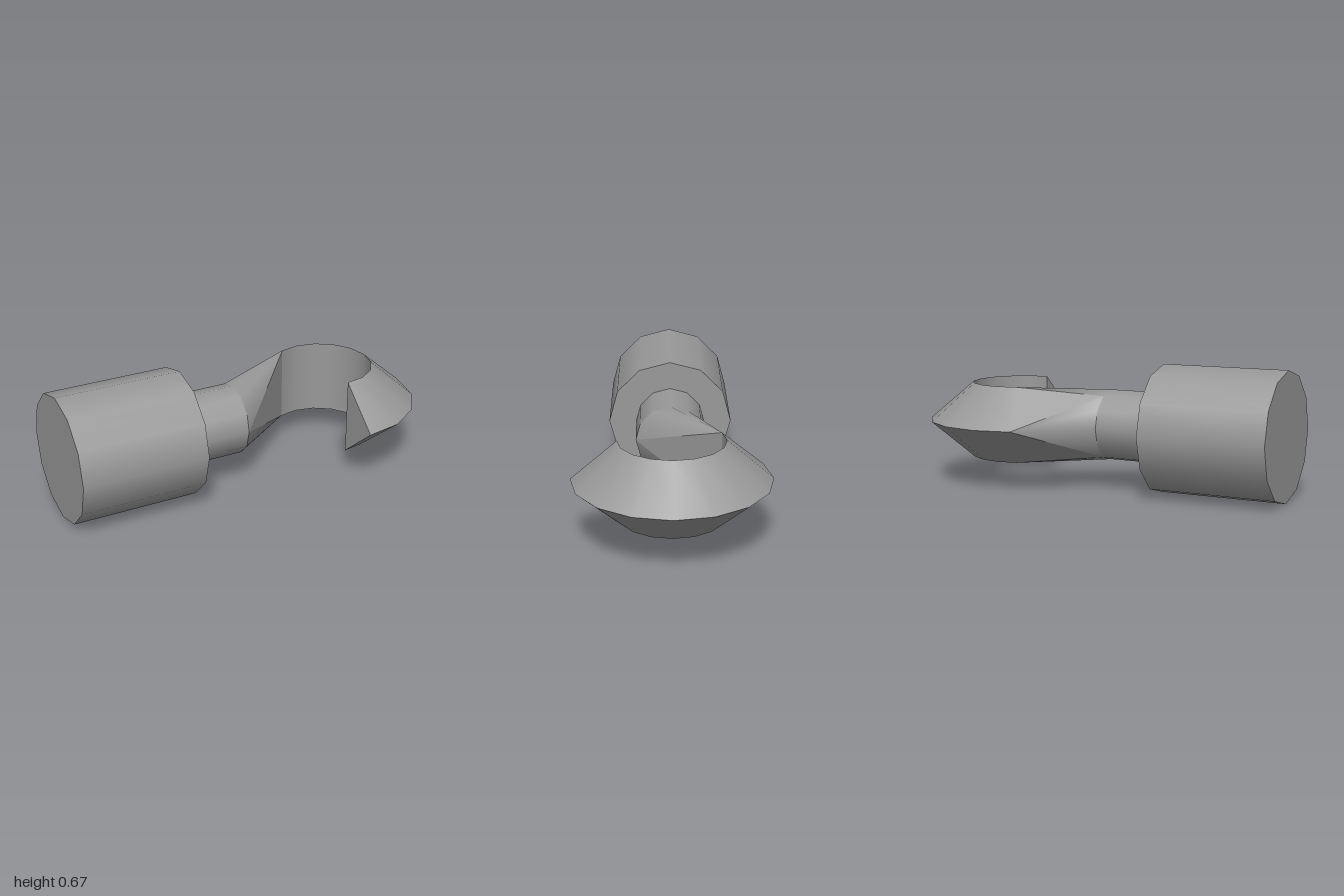
import * as THREE from 'three';

const MID = 0.333;          // height of the shared axis
const NECK_R = 0.185, NECK_END = -0.035;
const IN_R = 0.267, OUT_R = 0.5, HALF_H = 0.2, SWEEP = Math.PI * 1.125;

export function createModel() {
  const group = new THREE.Group();
  const material = new THREE.MeshStandardMaterial({ color: 0x999999 });

  const add = (name, geometry, x = 0) => {
    const mesh = new THREE.Mesh(geometry, material);
    mesh.name = name;
    mesh.position.set(x, MID, 0);
    group.add(mesh);
  };

  // Twelve-sided rod lying along x
  const rod = (name, radius, x0, x1, open) => {
    const geometry = new THREE.CylinderGeometry(radius, radius, x1 - x0, 12, 1, open);
    add(name, geometry.rotateZ(-Math.PI / 2), (x0 + x1) / 2);
  };
  rod('base', 0.333, -1, -0.335, false);
  rod('neck', NECK_R, -0.335, NECK_END, true);

  // Triangle fan around an apex, smooth across its own facets only
  const fan = (name, apex, points, x) => {
    const geometry = new THREE.BufferGeometry().setFromPoints([apex, ...points]);
    const index = [];
    for (let i = 1; i < points.length; i++) index.push(0, i + 1, i);
    geometry.setIndex(index);
    geometry.computeVertexNormals();
    add(name, geometry, x);
  };

  // Hook: triangular section swept around a vertical axis, one band per side
  const corners = [[IN_R, -HALF_H], [OUT_R, 0], [IN_R, HALF_H]]
    .map(([r, y]) => new THREE.Vector2(r, y));
  ['hookUnderside', 'hookTop', 'hookInside'].forEach((name, i) => {
    const side = [corners[i], corners[(i + 1) % 3]];
    add(name, new THREE.LatheGeometry(side, 9, 0, SWEEP), 0.5);
  });

  // Flat face closing the free end of the hook
  const [low, tip, high] = corners.map((c) => new THREE.Vector3(0, c.y, c.x));
  fan('hookTip', low, [high, tip], 0.5);

  // Transition: round neck end to the triangular start of the hook
  const [lower, outer, upper] = corners.map((c) => new THREE.Vector3(
    0.5 + c.x * Math.sin(SWEEP), c.y, c.x * Math.cos(SWEEP)));
  const rim = Array.from({ length: 13 }, (_, i) => new THREE.Vector3(
    NECK_END, NECK_R * Math.sin(i * Math.PI / 6), NECK_R * Math.cos(i * Math.PI / 6)));

  // Each corner takes a third of the rim, with a flat face to the next corner
  const section = [upper, outer, lower];
  section.forEach((corner, i) => {
    fan('transitionCorner', corner, rim.slice(i * 4, i * 4 + 5));
    fan('transitionFlat', rim[i * 4 + 4], [section[(i + 1) % 3], corner]);
  });

  return group;
}
